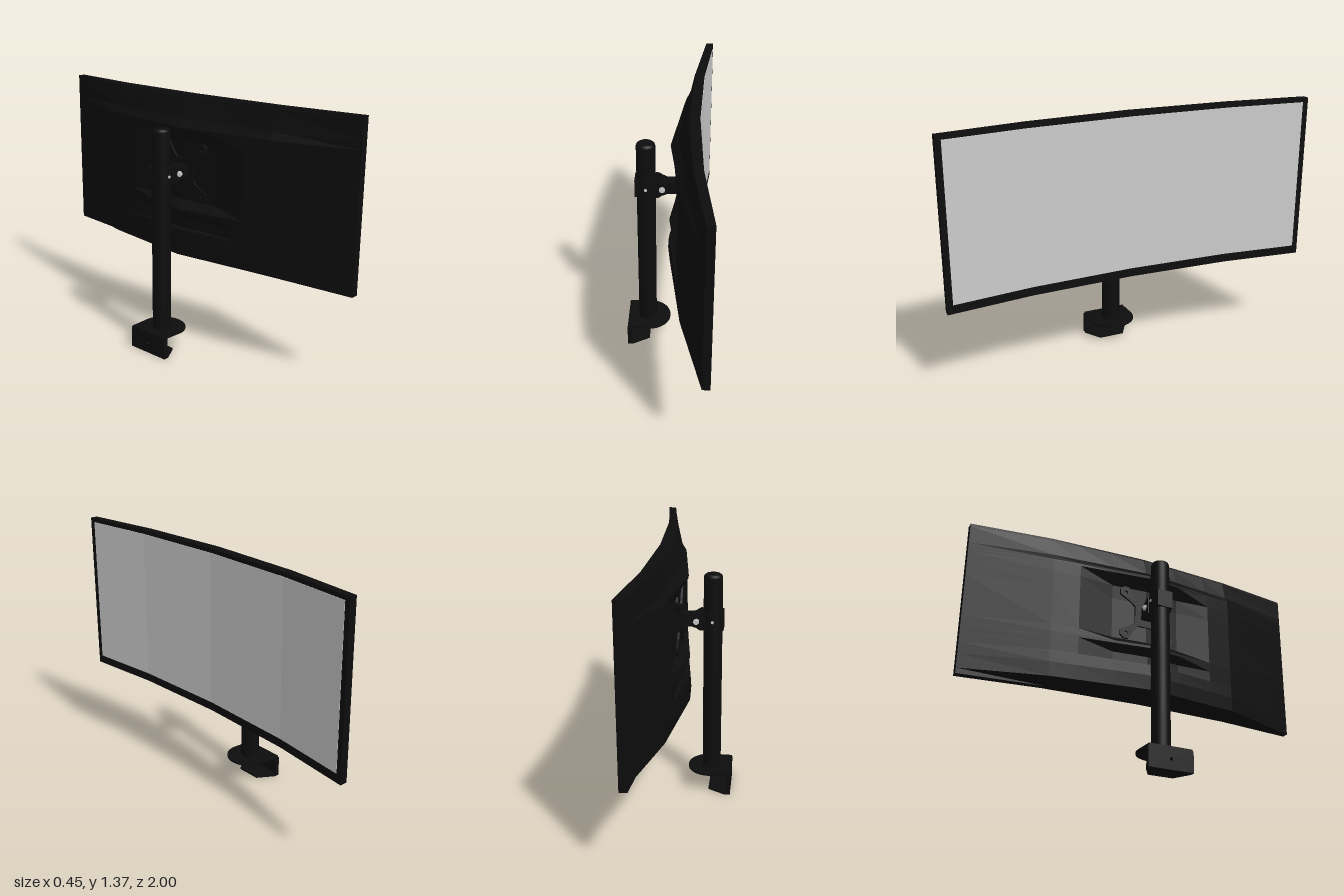
import * as THREE from 'three';

const black = new THREE.MeshStandardMaterial({ color: 0x0d0d0d });
const blackFlat = new THREE.MeshStandardMaterial({ color: 0x0d0d0d, flatShading: true });
const grey = new THREE.MeshStandardMaterial({ color: 0xcccccc });
const greyFlat = new THREE.MeshStandardMaterial({ color: 0xcccccc, flatShading: true });

// Linear interpolation through [key, value] pairs
function lerpTable(table, k) {
  for (let i = 1; i < table.length; i++) {
    const [k0, v0] = table[i - 1], [k1, v1] = table[i];
    if (k <= k1) return v0 + (v1 - v0) * (k - k0) / (k1 - k0);
  }
  return table[table.length - 1][1];
}

// Front curve of the display and fall-off of its depth, by distance from the middle
const frontX = z => lerpTable([[0, 0.155], [0.55, 0.175], [1, 0.225]], Math.abs(z));
const depthScale = z => lerpTable([[0, 1], [0.55, 0.56], [1, 0]], Math.abs(z));
const recess = z => lerpTable([[0, 1], [0.2, 1], [0.4, 0], [1, 0]], Math.abs(z));

// Closed solid from (x, y) sections, counterclockwise, stacked along z
function loft(sectionAt, stations) {
  const pos = [], idx = [];
  let n = 0;
  for (const z of stations) {
    const section = sectionAt(z);
    n = section.length;
    for (const [x, y] of section) pos.push(x, y, z);
  }
  const last = (stations.length - 1) * n;
  for (let s = 0; s < last; s += n) {
    for (let i = 0; i < n; i++) {
      const j = (i + 1) % n;
      idx.push(s + i, s + j, s + n + j, s + i, s + n + j, s + n + i);
    }
  }
  for (let i = 1; i < n - 1; i++) idx.push(0, i + 1, i, last, last + i, last + i + 1);
  const g = new THREE.BufferGeometry();
  g.setAttribute('position', new THREE.Float32BufferAttribute(pos, 3));
  g.setIndex(idx);
  const flat = g.toNonIndexed();
  flat.computeVertexNormals();
  return flat;
}

export function createModel() {
  const model = new THREE.Group();
  const add = (name, geometry, material, x = 0, y = 0, z = 0, parent = model) => {
    const m = new THREE.Mesh(geometry, material);
    m.name = name;
    m.position.set(x, y, z);
    parent.add(m);
    return m;
  };
  const rod = (r, length, sides = 24) => new THREE.CylinderGeometry(r, r, length, sides).rotateX(Math.PI / 2);

  // Display housing: [height, outer depth, depth inside the mounting recess]
  const back = [
    [1.37, 0.055, 0.055], [1.355, 0.065, 0.065], [1.25, 0.105, 0.105], [1.21, 0.147, 0.147],
    [1.195, 0.148, 0.145], [1.13, 0.15, 0.103], [1.05, 0.15, 0.097], [0.81, 0.153, 0.1],
    [0.77, 0.155, 0.153], [0.755, 0.155, 0.153], [0.715, 0.155, 0.12], [0.657, 0.155, 0.12],
    [0.655, 0.156, 0.156], [0.59, 0.16, 0.16], [0.51, 0.153, 0.153], [0.48, 0.03, 0.03],
  ];
  const housing = z => {
    const f = frontX(z), s = depthScale(z), r = recess(z);
    const points = back.map(([y, outer, inner]) => {
      const depth = outer + (inner - outer) * r;
      return [f - 0.04 - s * (depth - 0.04), y];
    });
    return [[f, 0.48], [f, 1.37], ...points];
  };
  add('displayHousing', loft(housing, [-1, -0.55, -0.4, -0.2, 0, 0.2, 0.4, 0.55, 1]), blackFlat);

  // Screen, just proud of the bezel
  const screen = z => {
    const f = frontX(z);
    return [[f + 0.002, 0.527], [f + 0.002, 1.348], [f - 0.01, 1.348], [f - 0.01, 0.527]];
  };
  add('screen', loft(screen, [-0.97, -0.55, 0, 0.55, 0.97]), greyFlat);

  // X-shaped mounting plate, one quadrant repeated four times
  const plateShape = new THREE.Shape();
  const quadrant = [[0.07, 0.05], [0.09, 0.09], [0.16, 0.11], [0.16, 0.14], [0.14, 0.16], [0.11, 0.16], [0.09, 0.09], [0.05, 0.07]];
  quadrant[1] = [0.1, 0.075];
  quadrant[6] = [0.075, 0.1];
  const outline = [];
  for (let q = 0; q < 4; q++) {
    const c = Math.round(Math.cos(q * Math.PI / 2)), s = Math.round(Math.sin(q * Math.PI / 2));
    for (const [u, v] of quadrant) outline.push(new THREE.Vector2(u * c - v * s, u * s + v * c));
  }
  plateShape.setFromPoints(outline);
  for (const u of [-0.125, 0.125]) for (const v of [-0.125, 0.125]) {
    plateShape.holes.push(new THREE.Path().absarc(u, v, 0.01, 0, Math.PI * 2, true));
  }
  const plate = new THREE.ExtrudeGeometry(plateShape, { depth: 0.012, bevelEnabled: false, curveSegments: 8 });
  add('mountingPlate', plate.rotateY(Math.PI / 2), black, 0.048, 0.97);

  // Pole with a softly rounded cap
  const poleProfile = [[0, 0.115], [0.05, 0.115], [0.05, 1.205], [0.046, 1.216], [0.036, 1.223], [0, 1.225]]
    .map(p => new THREE.Vector2(...p));
  const pole = new THREE.LatheGeometry(poleProfile, 40);
  add('pole', pole, black, -0.12);

  // Collar, tilt knuckle and short arm
  const mount = new THREE.Group();
  mount.name = 'tiltMount';
  mount.position.y = 0.975;
  model.add(mount);
  add('collar', new THREE.CylinderGeometry(0.058, 0.058, 0.1, 32), black, -0.12, 0, 0, mount);
  add('collarBlock', new THREE.BoxGeometry(0.116, 0.098, 0.09), black, -0.12, 0, 0, mount);
  for (const side of [-1, 1]) {
    const ear = new THREE.Shape();
    ear.moveTo(-0.07, -0.049);
    ear.lineTo(-0.055, -0.049);
    ear.lineTo(-0.03, -0.032);
    ear.absarc(-0.035, 0, 0.034, -Math.PI / 2 + 0.2, Math.PI / 2 - 0.2, false);
    ear.lineTo(-0.055, 0.049);
    ear.lineTo(-0.07, 0.049);
    const earGeometry = new THREE.ExtrudeGeometry(ear, { depth: 0.014, bevelEnabled: false });
    add('knuckleEar', earGeometry, black, 0, 0, side * 0.042 - 0.007, mount);
    add('tiltWasher', rod(0.016, 0.006), grey, -0.035, 0, side * 0.052, mount);
    add('tiltBolt', rod(0.01, 0.012, 6), grey, -0.035, 0, side * 0.057, mount);
    add('collarScrew', rod(0.008, 0.006, 12), grey, -0.12, 0, side * 0.058, mount);
  }
  add('tiltBarrel', rod(0.032, 0.07), black, -0.035, 0, 0, mount);
  add('arm', new THREE.BoxGeometry(0.09, 0.068, 0.066), black, 0.008, 0, 0, mount);

  // Base plate: straight at the back, round toward the display
  const base = new THREE.Shape();
  base.moveTo(-0.228, -0.12);
  base.lineTo(-0.11, -0.125);
  base.absellipse(-0.11, 0, 0.118, 0.125, -Math.PI / 2, Math.PI / 2, false);
  base.lineTo(-0.228, 0.12);
  const baseGeometry = new THREE.ExtrudeGeometry(base, { depth: 0.01, bevelEnabled: false, curveSegments: 24 });
  add('basePlate', baseGeometry.rotateX(-Math.PI / 2), black, 0, 0.112);

  // Clamp: pierced back wall with folded edges and a lower jaw
  const wall = new THREE.Shape();
  wall.moveTo(-0.125, 0);
  wall.lineTo(0.125, 0);
  wall.lineTo(0.125, 0.113);
  wall.lineTo(-0.125, 0.113);
  wall.holes.push(new THREE.Path().absarc(0, 0.055, 0.009, 0, Math.PI * 2, true));
  const wallGeometry = new THREE.ExtrudeGeometry(wall, { depth: 0.008, bevelEnabled: false });
  add('clampWall', wallGeometry.rotateY(Math.PI / 2), black, -0.23);
  for (const side of [-1, 1]) {
    add('clampFold', new THREE.BoxGeometry(0.025, 0.113, 0.008), black, -0.2175, 0.0565, side * 0.121);
  }
  const jaw = new THREE.Shape();
  jaw.moveTo(-0.228, -0.125);
  jaw.lineTo(-0.2, -0.125);
  jaw.lineTo(-0.108, -0.07);
  jaw.lineTo(-0.108, 0.07);
  jaw.lineTo(-0.2, 0.125);
  jaw.lineTo(-0.228, 0.125);
  const jawGeometry = new THREE.ExtrudeGeometry(jaw, { depth: 0.008, bevelEnabled: false });
  add('clampJaw', jawGeometry.rotateX(-Math.PI / 2), black);

  return model;
}
